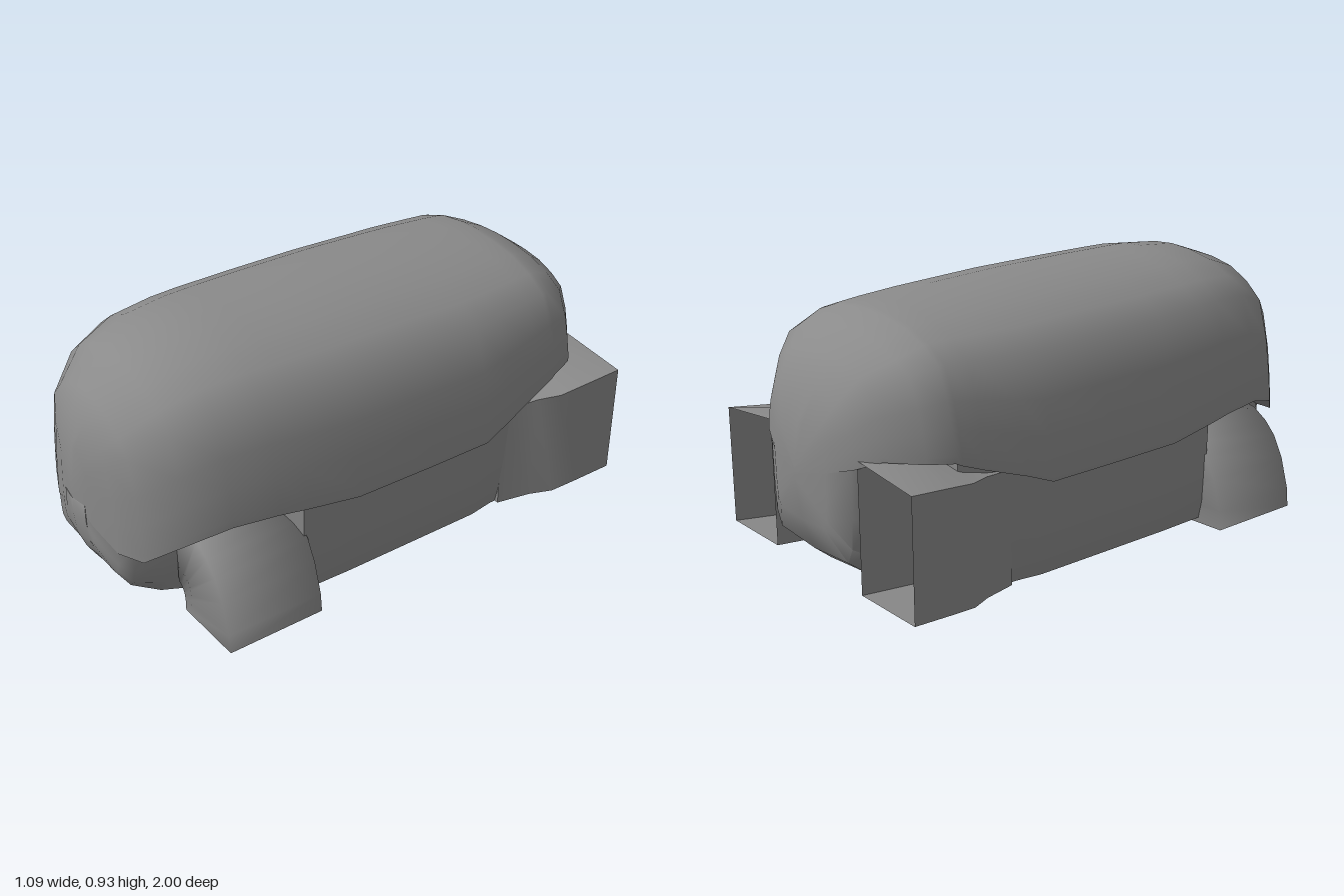
import * as THREE from 'three';
import { toCreasedNormals } from 'three/addons/utils/BufferGeometryUtils.js';

const material = new THREE.MeshStandardMaterial({ color: 0x8a8a8a, side: THREE.DoubleSide });

// Skin a surface over cross-sections, each a list of [x, y, z] points
function loft(name, rings, crease, closed = false) {
  const n = rings[0].length, index = [];
  for (let i = 0; i < rings.length - 1; i++) {
    for (let j = 0; j < (closed ? n : n - 1); j++) {
      const k = (j + 1) % n, a = i * n, b = a + n;
      index.push(a + j, b + j, a + k, a + k, b + j, b + k);
    }
  }
  const geometry = new THREE.BufferGeometry();
  geometry.setAttribute('position', new THREE.Float32BufferAttribute(rings.flat(2), 3));
  geometry.setIndex(index);
  const mesh = new THREE.Mesh(toCreasedNormals(geometry, crease), material);
  mesh.name = name;
  return mesh;
}

// Complete a half profile running from +x to the centre line
const mirrored = (half) => [...half, ...half.slice(0, -1).reverse().map(([x, y, z]) => [-x, y, z])];

// Hull stations: z, half width, top, hem height, floor, belly half width
const stations = [
  [0.995, 0, 0.45, 0.42, 0.4, 0],
  [0.98, 0.1, 0.61, 0.35, 0.27, 0.1],
  [0.95, 0.205, 0.71, 0.29, 0.19, 0.2],
  [0.91, 0.3, 0.78, 0.295, 0.13, 0.23],
  [0.8, 0.39, 0.87, 0.37, 0.05, 0.23],
  [0.66, 0.44, 0.92, 0.41, 0.02, 0.23],
  [0.5, 0.465, 0.935, 0.405, 0.02, 0.23],
  [0.4, 0.48, 0.935, 0.395, 0.02, 0.46],
  [0.2, 0.495, 0.935, 0.37, 0.02, 0.465],
  [-0.1, 0.5, 0.932, 0.37, 0.02, 0.465],
  [-0.35, 0.5, 0.922, 0.37, 0.02, 0.465],
  [-0.45, 0.49, 0.917, 0.41, 0.02, 0.45],
  [-0.6, 0.465, 0.908, 0.46, 0.012, 0.44],
  [-0.68, 0.455, 0.9, 0.49, 0.01, 0.43],
  [-0.7, 0.45, 0.895, 0.5, 0.01, 0.245],
  [-0.79, 0.42, 0.855, 0.51, 0.04, 0.245],
  [-0.88, 0.32, 0.79, 0.51, 0.09, 0.245],
  [-0.94, 0.25, 0.7, 0.48, 0.14, 0.235],
  [-0.98, 0.15, 0.58, 0.45, 0.25, 0.15],
  [-1, 0, 0.44, 0.42, 0.4, 0],
];

// Half profile of the shell: fraction of the width, fraction of the height
const dome = [[1, 0], [1, 0.06], [0.965, 0.27], [0.92, 0.48], [0.82, 0.743], [0.65, 0.86], [0.44, 0.947], [0.2, 0.988], [0, 1]];

function shell() {
  return loft('shell', stations.map(([z, w, top, hem]) =>
    mirrored(dome.map(([u, v]) => [u * w, hem + v * (top - hem), z]))), 1);
}

// Lower hull, narrow between the feet and between the ducts, rounder at the ends
function belly() {
  const straight = [[1, 1], [0.99, 0.5], [0.98, 0.2], [0.95, 0.02], [0, 0]];
  const round = [[1, 1], [0.99, 0.5], [0.96, 0.2], [0.85, 0.04], [0, 0]];
  return loft('belly', stations.map(([z, w, , hem, floor, b]) => {
    const profile = Math.abs(z) > 0.75 ? round : straight;
    return mirrored([[w, hem, z], ...profile.map(([u, v]) => [u * b, floor + v * (hem - floor), z])]);
  }), 1);
}

// Raised strip bent down over the nose
function noseStrip() {
  const path = [
    [0.427, 0.98, 0.03], [0.41, 0.996, 0.066], [0.35, 0.997, 0.067], [0.27, 0.99, 0.069],
    [0.2, 0.962, 0.072], [0.14, 0.925, 0.074], [0.09, 0.87, 0.076], [0.08, 0.84, 0.04],
  ];
  return loft('noseStrip', path.map(([y, z, w]) =>
    mirrored([[w, y, z - 0.06], [w, y, z - 0.01], [0, y, z]])), 0.8);
}

// Arched front foot, hollow and open underneath: outer x, y then inner x, y
function frontFoot() {
  const path = [
    [0.23, 0.37, 0.23, 0.1], [0.36, 0.35, 0.238, 0.1], [0.42, 0.312, 0.248, 0.092],
    [0.465, 0.265, 0.257, 0.082], [0.505, 0.19, 0.264, 0.068],
    [0.538, 0.08, 0.268, 0.045], [0.545, 0.012, 0.268, 0.003],
  ];
  return loft('frontFoot', path.map(([ox, oy, ix, iy]) =>
    [[ox, oy, 0.75], [ox, oy, 0.39], [ix, iy, 0.39], [ix, iy, 0.75]]), 1.8, true);
}

// Rear duct, open at the back: z, outer x, bottom, outer top, inner top
function rearDuct() {
  const path = [
    [-0.47, 0.39, 0.03, 0.42, 0.43], [-0.475, 0.44, 0.025, 0.425, 0.435], [-0.6, 0.472, 0.03, 0.44, 0.47],
    [-0.68, 0.51, 0.035, 0.45, 0.5], [-0.78, 0.522, 0.045, 0.463, 0.52], [-0.93, 0.537, 0.06, 0.48, 0.51],
  ];
  return loft('rearDuct', path.map(([z, x, low, top, innerTop]) =>
    [[x, low, z], [x, top, z], [0.255, innerTop, z], [0.255, low, z]]), 0.6, true);
}

export function createModel() {
  const model = new THREE.Group();
  model.name = 'pod';
  model.add(shell(), belly(), noseStrip());
  // Feet and ducts on both sides
  for (const side of [1, -1]) {
    const group = new THREE.Group();
    group.name = side > 0 ? 'leftSide' : 'rightSide';
    group.add(frontFoot(), rearDuct());
    group.scale.x = side;
    model.add(group);
  }
  return model;
}
